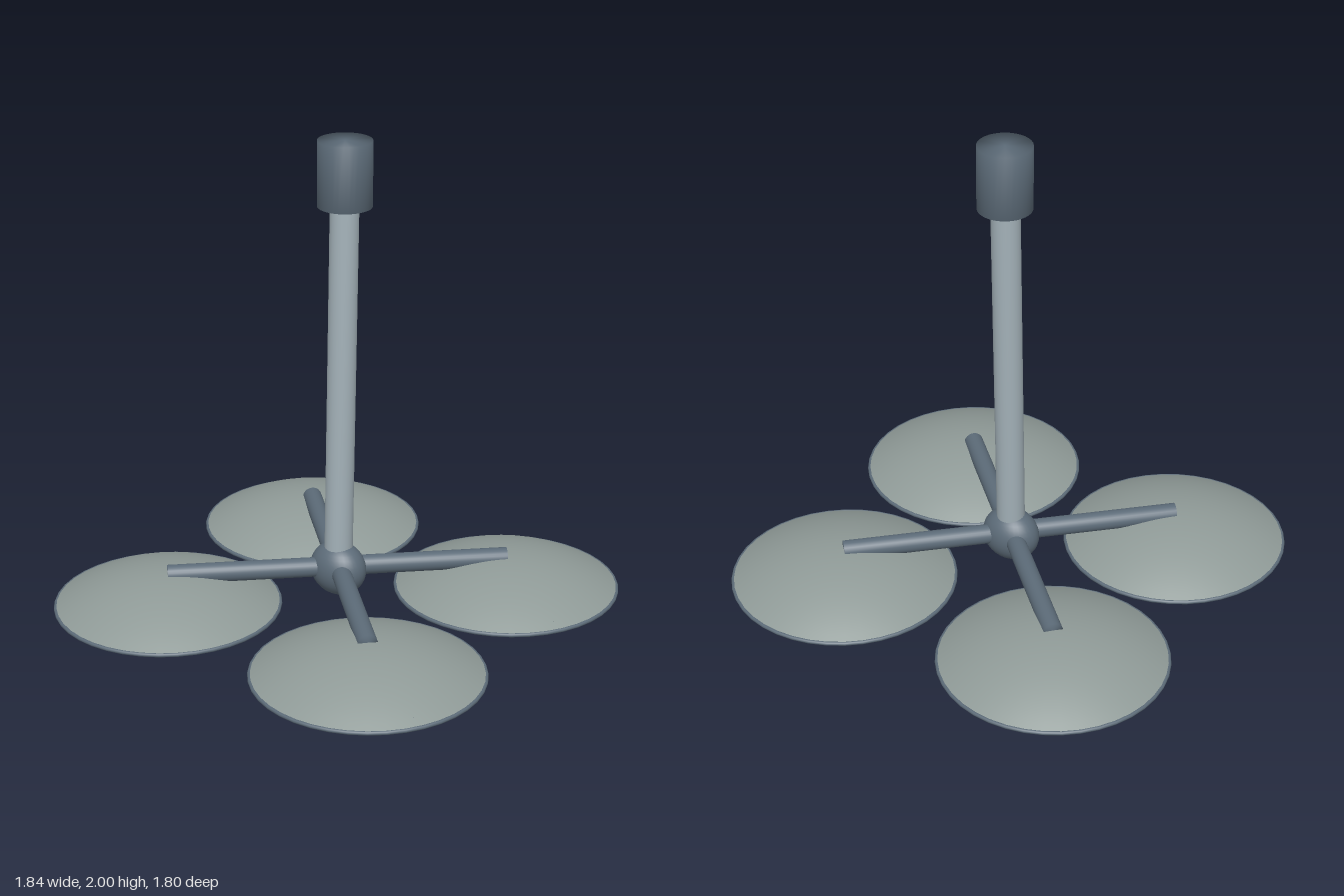
import * as THREE from 'three';
import { mergeVertices } from 'three/addons/utils/BufferGeometryUtils.js';

const mat = (name, color, side = THREE.FrontSide) => {
  const m = new THREE.MeshStandardMaterial({ color, side });
  m.name = name;
  return m;
};

// Share normals across cap edges for a soft, rounded look
function soften(geometry) {
  geometry.deleteAttribute('uv');
  geometry.deleteAttribute('normal');
  const merged = mergeVertices(geometry, 1e-4);
  merged.computeVertexNormals();
  return merged;
}

export function createModel() {
  const model = new THREE.Group();
  model.name = 'dishCluster';
  const slate = mat('slate', 0x5c6b78);
  const paleSteel = mat('pale steel', 0xa3b1b8);
  const dishGrey = mat('dish grey', 0x8f9a97, THREE.DoubleSide);
  const ivory = mat('ivory', 0xd8d4c8);

  const add = (parent, name, geometry, material, x = 0, y = 0, z = 0) => {
    const mesh = new THREE.Mesh(geometry, material);
    mesh.name = name;
    mesh.position.set(x, y, z);
    parent.add(mesh);
    return mesh;
  };

  // Round bar between two points
  const bar = (parent, name, a, b, radius, material, sides = 24) => {
    const from = new THREE.Vector3(...a), to = new THREE.Vector3(...b);
    const dir = to.clone().sub(from);
    const geometry = soften(new THREE.CylinderGeometry(radius, radius, dir.length(), sides));
    const mesh = add(parent, name, geometry, material);
    mesh.position.copy(from).add(to).multiplyScalar(0.5);
    mesh.quaternion.setFromUnitVectors(new THREE.Vector3(0, 1, 0), dir.normalize());
    return mesh;
  };

  // Leaning mast with its upright end cap
  bar(model, 'mast', [0, 0.3, 0], [0, 1.78, -0.039], 0.055, paleSteel);
  add(model, 'mastCap', soften(new THREE.CylinderGeometry(0.103, 0.103, 0.25, 32)), slate, 0, 1.875, -0.041);

  // Slightly flattened hub
  add(model, 'hub', new THREE.SphereGeometry(1, 32, 20), slate, 0, 0.295, 0).scale.set(0.117, 0.107, 0.092);

  // Shallow dish profile, from apex to rim
  const R = 0.44, profile = [];
  for (let i = 0; i <= 12; i++) {
    const t = i / 12;
    profile.push(new THREE.Vector2(R * t, 0.31 - 0.125 * t * t));
  }
  const dishGeometry = new THREE.LatheGeometry(profile.reverse(), 40);
  const rimGeometry = new THREE.TorusGeometry(R - 0.007, 0.008, 8, 40).rotateX(Math.PI / 2);
  const feedGeometry = new THREE.SphereGeometry(1, 24, 16);

  for (const sx of [-1, 1]) {
    for (const sz of [-1, 1]) {
      const x = sx * 0.478, z = sz * 0.458;
      bar(model, 'arm', [0, 0.302, 0], [x, 0.302, z], 0.038, slate);

      const unit = new THREE.Group();
      unit.name = 'dishUnit';
      unit.position.set(x, 0, z);
      model.add(unit);
      add(unit, 'dish', dishGeometry, dishGrey);
      add(unit, 'dishRim', rimGeometry, slate, 0, 0.183, 0);
      add(unit, 'feed', feedGeometry, ivory, 0, 0.077, 0).scale.set(0.052, 0.077, 0.052);

      // Three struts hold the feed below the dish
      for (const degrees of [30, 150, 270]) {
        const a = THREE.MathUtils.degToRad(degrees);
        bar(unit, 'strut', [0, 0.08, 0], [0.4 * Math.cos(a), 0.2, 0.4 * Math.sin(a)], 0.008, slate, 8);
      }
    }
  }
  return model;
}
